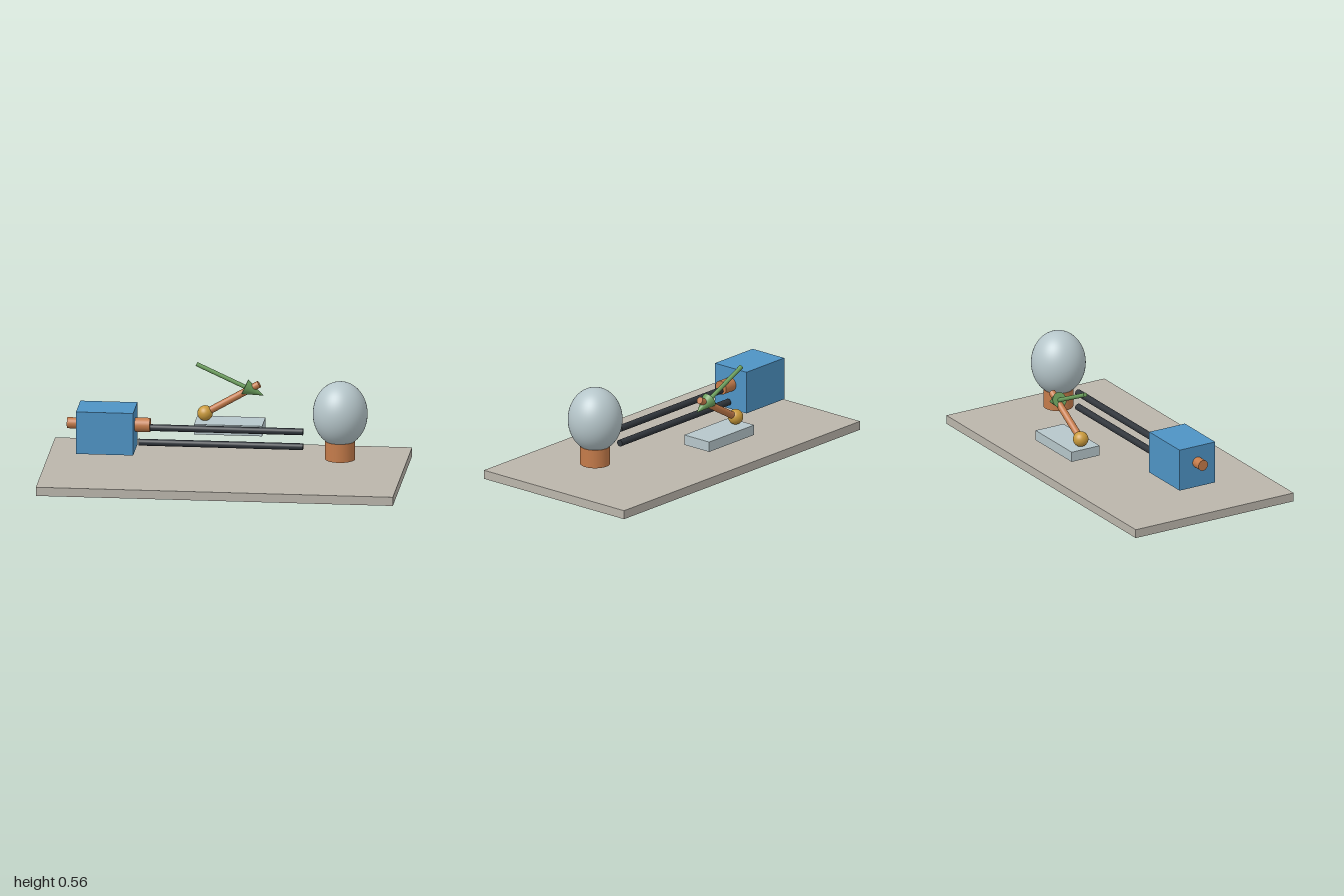
import * as THREE from 'three';

const mat = (name, color) => {
  const m = new THREE.MeshStandardMaterial({ color });
  m.name = name;
  return m;
};

export function createModel() {
  const group = new THREE.Group();
  const stone = mat('warm grey', 0xbab5ab);
  const blue = mat('blue', 0x4e93c4);
  const copper = mat('copper', 0xc47b4a);
  const black = mat('charcoal', 0x30353b);
  const glass = mat('pale glass', 0xb6c6ca);
  const gold = mat('gold', 0xc99a3c);
  const green = mat('green', 0x6b9e5c);

  const add = (name, geometry, material, x, y, z) => {
    const mesh = new THREE.Mesh(geometry, material);
    mesh.name = name;
    mesh.position.set(x, y, z);
    group.add(mesh);
    return mesh;
  };
  // Round bar or cone between two points
  const bar = (name, a, b, r0, r1, material) => {
    const from = new THREE.Vector3(...a), dir = new THREE.Vector3(...b).sub(from);
    const geometry = new THREE.CylinderGeometry(r1, r0, dir.length(), 32);
    const mid = from.clone().addScaledVector(dir, 0.5);
    const mesh = add(name, geometry, material, mid.x, mid.y, mid.z);
    mesh.quaternion.setFromUnitVectors(new THREE.Vector3(0, 1, 0), dir.normalize());
    return mesh;
  };

  // Base board
  add('baseBoard', new THREE.BoxGeometry(2, 0.05, 1.036), stone, 0, 0.025, 0);

  // Battery with its two terminals
  add('battery', new THREE.BoxGeometry(0.32, 0.243, 0.234), blue, -0.657, 0.258, 0);
  bar('smallTerminal', [-0.878, 0.283, 0], [-0.8, 0.283, 0], 0.031, 0.031, copper);
  bar('largeTerminal', [-0.51, 0.283, 0], [-0.413, 0.283, 0], 0.04, 0.04, copper);

  // Pair of wires
  for (const [name, y] of [['upperWire', 0.268], ['lowerWire', 0.182]])
    bar(name, [-0.478, y, 0], [0.443, y, 0], 0.019, 0.019, black);

  // Lamp
  bar('lampSocket', [0.651, 0.118, 0], [0.651, 0.224, 0], 0.084, 0.084, copper);
  add('lampBulb', new THREE.SphereGeometry(0.153, 48, 32), glass, 0.651, 0.379, 0).scale.y = 1.2;

  // Switch: plate, pivot and raised lever
  const z = -0.346;
  add('switchPlate', new THREE.BoxGeometry(0.382, 0.058, 0.184), glass, -0.004, 0.193, z);
  add('switchPivot', new THREE.SphereGeometry(0.043, 32, 24), gold, -0.142, 0.264, z);
  bar('switchLever', [-0.142, 0.264, z], [0.161, 0.44, z], 0.02, 0.02, copper);

  // Arrow pointing down across the lever
  const neck = [0.081, 0.422, z];
  bar('arrowShaft', [-0.19, 0.546, z], neck, 0.012, 0.012, green);
  bar('arrowHead', neck, [0.187, 0.374, z], 0.044, 0, green);

  return group;
}
